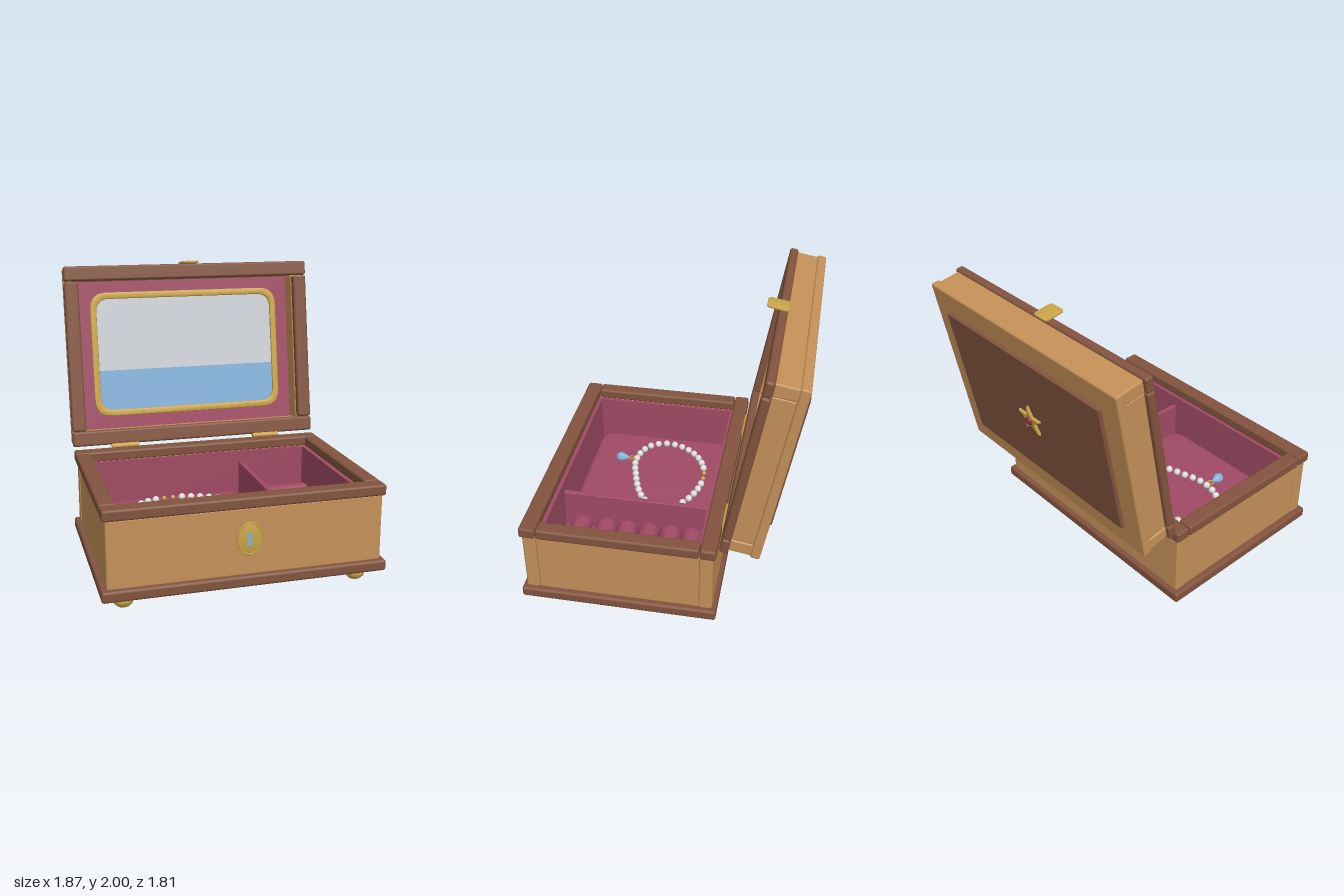
import * as THREE from 'three';
import { toCreasedNormals } from 'three/addons/utils/BufferGeometryUtils.js';
import { RoundedBoxGeometry } from 'three/addons/geometries/RoundedBoxGeometry.js';

const mat = (name, color) => {
  const m = new THREE.MeshStandardMaterial({ color });
  m.name = name;
  return m;
};

export function createModel() {
  const oak = mat('oak', 0xc49058);
  const walnut = mat('walnut', 0x82533e);
  const velvet = mat('velvet', 0xa04a64);
  const brass = mat('brass', 0xcaa548);
  const silver = mat('silver', 0xccd0d4);
  const blue = mat('blue', 0x84b2da);
  const ruby = mat('ruby', 0x8e2a48);
  const pearl = mat('pearl', 0xdcdcda);

  const root = new THREE.Group();
  root.name = 'jewelleryBox';
  const group = (name, parent = root) => {
    const g = new THREE.Group();
    g.name = name;
    parent.add(g);
    return g;
  };
  const add = (parent, name, geo, m, x = 0, y = 0, z = 0) => {
    const mesh = new THREE.Mesh(geo, m);
    mesh.name = name;
    mesh.position.set(x, y, z);
    parent.add(mesh);
    return mesh;
  };
  // softened box given by its limits on each axis
  const box = (parent, name, m, [x0, x1], [y0, y1], [z0, z1], r = 0.012) => {
    const s = [x1 - x0, y1 - y0, z1 - z0];
    const geo = r ? new RoundedBoxGeometry(...s, 2, r) : new THREE.BoxGeometry(...s);
    return add(parent, name, geo, m, (x0 + x1) / 2, (y0 + y1) / 2, (z0 + z1) / 2);
  };
  const roundRect = (C, hw, y0, y1, r, topR = r) => {
    const s = new C();
    s.moveTo(-hw + r, y0).lineTo(hw - r, y0);
    s.quadraticCurveTo(hw, y0, hw, y0 + r).lineTo(hw, y1 - topR);
    s.quadraticCurveTo(hw, y1, hw - topR, y1).lineTo(-hw + topR, y1);
    s.quadraticCurveTo(-hw, y1, -hw, y1 - topR).lineTo(-hw, y0 + r);
    s.quadraticCurveTo(-hw, y0, -hw + r, y0);
    return s;
  };
  // extrusion whose bevels stay inside the outline, from z = 0 to z = depth
  const slab = (shape, depth, bevel, segs = 2) => {
    const geo = new THREE.ExtrudeGeometry(shape, {
      depth: depth - 2 * bevel, bevelEnabled: bevel > 0, bevelSize: bevel, bevelThickness: bevel,
      bevelOffset: -bevel, bevelSegments: segs, curveSegments: 8,
    });
    return toCreasedNormals(geo.translate(0, 0, bevel), 0.7);
  };

  // ---- case ----
  const body = group('case');
  box(body, 'baseMoulding', walnut, [-0.935, 0.935], [0.09, 0.165], [-0.42, 0.91], 0.018);
  box(body, 'floor', oak, [-0.85, 0.85], [0.16, 0.21], [-0.33, 0.82], 0);
  box(body, 'frontWall', oak, [-0.9, 0.9], [0.16, 0.61], [0.79, 0.88]);
  box(body, 'backWall', oak, [-0.9, 0.9], [0.16, 0.61], [-0.39, -0.3]);
  box(body, 'frontRail', walnut, [-0.92, 0.92], [0.605, 0.68], [0.785, 0.895], 0.016);
  box(body, 'backRail', walnut, [-0.92, 0.92], [0.605, 0.68], [-0.41, -0.305], 0.016);
  const span = (s, a, b) => [Math.min(s * a, s * b), Math.max(s * a, s * b)];
  for (const s of [-1, 1]) {
    box(body, 'sideWall', oak, span(s, 0.815, 0.895), [0.16, 0.61], [-0.3, 0.79]);
    box(body, 'sideRail', walnut, span(s, 0.815, 0.92), [0.605, 0.68], [-0.3, 0.78], 0.016);
    box(body, 'sideLining', velvet, span(s, 0.79, 0.816), [0.2, 0.61], [-0.3, 0.79], 0);
  }
  box(body, 'backLining', velvet, [-0.8, 0.8], [0.2, 0.61], [-0.302, -0.28], 0);
  box(body, 'frontLining', velvet, [-0.8, 0.8], [0.2, 0.61], [0.762, 0.792], 0);

  // bun feet
  const footGeo = new THREE.LatheGeometry([[0, 0], [0.042, 0], [0.06, 0.018], [0.068, 0.045],
    [0.06, 0.072], [0.045, 0.095], [0, 0.095]].map(p => new THREE.Vector2(...p)), 20);
  for (const x of [-0.78, 0.78]) for (const z of [-0.26, 0.755]) add(body, 'foot', footGeo, brass, x, 0, z);

  // lock plate with keyhole
  const lock = group('lock', body);
  lock.position.set(0, 0.41, 0.88);
  const oval = new THREE.Shape().absellipse(0, 0, 0.083, 0.109, 0, Math.PI * 2);
  add(lock, 'lockPlate', slab(oval, 0.016, 0.006), brass);
  add(lock, 'lockRim', new THREE.TorusGeometry(0.078, 0.006, 6, 32), brass, 0, 0, 0.014).scale.y = 1.33;
  add(lock, 'keyholeTop', new THREE.CircleGeometry(0.02, 16), blue, 0, 0.018, 0.018);
  const slot = new THREE.Shape([[-0.009, 0.01], [-0.017, -0.045], [0.017, -0.045], [0.009, 0.01]]
    .map(p => new THREE.Vector2(...p)));
  add(lock, 'keyholeSlot', new THREE.ShapeGeometry(slot), blue, 0, 0, 0.0175);

  // ---- interior fittings ----
  const inside = group('interior');
  const pad = slab(roundRect(THREE.Shape, 0.53, -0.513, 0.513, 0.12), 0.12, 0.045, 5);
  add(inside, 'cushion', pad.rotateX(-Math.PI / 2), velvet, -0.25, 0.2, 0.243);
  box(inside, 'divider', velvet, [0.286, 0.322], [0.2, 0.53], [-0.285, 0.765], 0.006);
  box(inside, 'ringTray', velvet, [0.32, 0.792], [0.2, 0.25], [-0.285, 0.765], 0);
  const rollGeo = new THREE.CapsuleGeometry(0.074, 0.44, 1, 20);
  const rollProfile = [[0, -0.23], [0.06, -0.23], [0.074, -0.215], [0.074, 0.215], [0.06, 0.23], [0, 0.23]];
  rollGeo.copy(toCreasedNormals(new THREE.LatheGeometry(rollProfile.map(p => new THREE.Vector2(...p)), 24), 0.6));
  rollGeo.rotateZ(Math.PI / 2);
  for (const z of [-0.16, -0.007, 0.147, 0.302, 0.456, 0.636]) add(inside, 'ringRoll', rollGeo, velvet, 0.557, 0.282, z);

  // ring standing between two rolls
  const ring = group('ring', inside);
  ring.position.set(0.557, 0.3, 0.546);
  add(ring, 'ringBand', new THREE.TorusGeometry(0.077, 0.01, 8, 28), brass);
  add(ring, 'ringSetting', new THREE.CylinderGeometry(0.022, 0.012, 0.02, 10), brass, 0, 0.085, 0);
  const stone = new THREE.IcosahedronGeometry(0.022, 0);
  add(ring, 'ringStone', stone, ruby, 0, 0.1, 0);

  // string of pearls with clasp beads and a drop pendant
  const necklace = group('necklace', inside);
  const beadY = 0.343;
  const loop = new THREE.CatmullRomCurve3([[-0.315, -0.148], [-0.44, -0.11], [-0.545, -0.035], [-0.62, 0.075],
    [-0.645, 0.205], [-0.595, 0.32], [-0.48, 0.385], [-0.35, 0.397], [-0.22, 0.365], [-0.09, 0.325],
    [0.03, 0.27], [0.125, 0.18], [0.14, 0.06], [0.06, -0.045], [-0.055, -0.11], [-0.185, -0.145]]
    .map(([x, z]) => new THREE.Vector3(x, beadY, z)), true);
  const beadGeo = new THREE.SphereGeometry(0.026, 12, 8);
  const claspGeo = new THREE.SphereGeometry(0.017, 10, 8);
  loop.getSpacedPoints(32).slice(0, 32).forEach((p, i) => {
    const clasp = i === 0 || i === 31;
    add(necklace, clasp ? 'claspBead' : 'pearl', clasp ? claspGeo : beadGeo, clasp ? brass : pearl, p.x, p.y, p.z);
  });
  add(necklace, 'pendantLoop', new THREE.TorusGeometry(0.02, 0.006, 6, 16), brass, -0.412, beadY, 0.44)
    .rotation.x = Math.PI / 2;
  const drop = new THREE.LatheGeometry([[0, -0.05], [0.022, -0.042], [0.037, -0.02], [0.036, 0], [0.014, 0.042],
    [0, 0.055]].map(p => new THREE.Vector2(...p)), 8).toNonIndexed();
  drop.computeVertexNormals();
  const dropMesh = add(necklace, 'pendantStone', drop, blue, -0.412, beadY, 0.512);
  dropMesh.rotation.x = -Math.PI / 2;

  // ---- hinges ----
  for (const x of [-0.54, 0.54]) {
    const hinge = group('hinge');
    add(hinge, 'hingePin', new THREE.CylinderGeometry(0.018, 0.018, 0.2, 12).rotateZ(Math.PI / 2), brass, x, 0.683, -0.425);
    box(hinge, 'caseLeaf', brass, [x - 0.1, x + 0.1], [0.61, 0.685], [-0.418, -0.408], 0);
    box(hinge, 'lidLeaf', brass, [x - 0.1, x + 0.1], [0.685, 0.697], [-0.475, -0.425], 0).rotation.x = 0.17;
  }

  // ---- lid, leaning back about the hinge line ----
  const lid = group('lid');
  lid.position.set(0, 0.68, -0.43);
  lid.rotation.x = -Math.PI / 18;
  const mid = 0.667;
  box(lid, 'lidBottomRail', walnut, [-0.92, 0.92], [0.012, 0.12], [-0.05, 0.008], 0.016);
  box(lid, 'lidTopRail', walnut, [-0.92, 0.92], [1.207, 1.312], [-0.05, 0.008], 0.016);
  box(lid, 'lidBottomWall', oak, [-0.895, 0.895], [0.025, 0.115], [-0.2, -0.045]);
  box(lid, 'lidTopWall', oak, [-0.895, 0.895], [1.21, 1.3], [-0.2, -0.045]);
  for (const s of [-1, 1]) {
    box(lid, 'lidSideRail', walnut, span(s, 0.818, 0.92), [0.122, 1.203], [-0.05, 0.008], 0.016);
    box(lid, 'lidSideWall', oak, span(s, 0.815, 0.89), [0.115, 1.21], [-0.2, -0.045]);
  }
  box(lid, 'lidBackPanel', oak, [-0.905, 0.905], [0.018, 1.31], [-0.252, -0.19]);
  box(lid, 'lidLining', velvet, [-0.817, 0.817], [0.11, 1.212], [-0.195, -0.178], 0);
  box(lid, 'lidBackPlate', walnut, [-0.75, 0.75], [0.185, 1.155], [-0.277, -0.245], 0.008);

  // mirror with its lower reflection band
  const frame = roundRect(THREE.Shape, 0.722, -0.46, 0.46, 0.13);
  frame.holes.push(roundRect(THREE.Path, 0.675, -0.413, 0.413, 0.1));
  add(lid, 'mirrorFrame', slab(frame, 0.026, 0.01, 2), brass, 0, mid, -0.18);
  add(lid, 'mirrorGlass', new THREE.ShapeGeometry(roundRect(THREE.Shape, 0.69, -0.428, 0.428, 0.1)), silver, 0, mid, -0.173);
  add(lid, 'mirrorReflection', new THREE.ShapeGeometry(roundRect(THREE.Shape, 0.69, -0.428, -0.119, 0.1, 0)), blue, 0, mid, -0.17);

  // catch on the top edge
  const tab = slab(roundRect(THREE.Shape, 0.064, -0.071, 0.071, 0.025), 0.014, 0.003);
  add(lid, 'catch', tab.rotateX(-Math.PI / 2), brass, 0, 1.311, 0.016);

  // star ornament on the back
  const star = new THREE.Shape(Array.from({ length: 10 }, (_, i) => {
    const r = i % 2 ? 0.048 : 0.118, a = Math.PI / 2 + i * Math.PI / 5;
    return new THREE.Vector2(r * Math.cos(a), r * Math.sin(a));
  }));
  add(lid, 'star', slab(star, 0.022, 0.008, 1), brass, 0, mid, -0.275).rotation.y = Math.PI;
  add(lid, 'starStone', new THREE.SphereGeometry(0.03, 14, 10), ruby, 0, mid, -0.295).scale.z = 0.8;

  return root;
}
